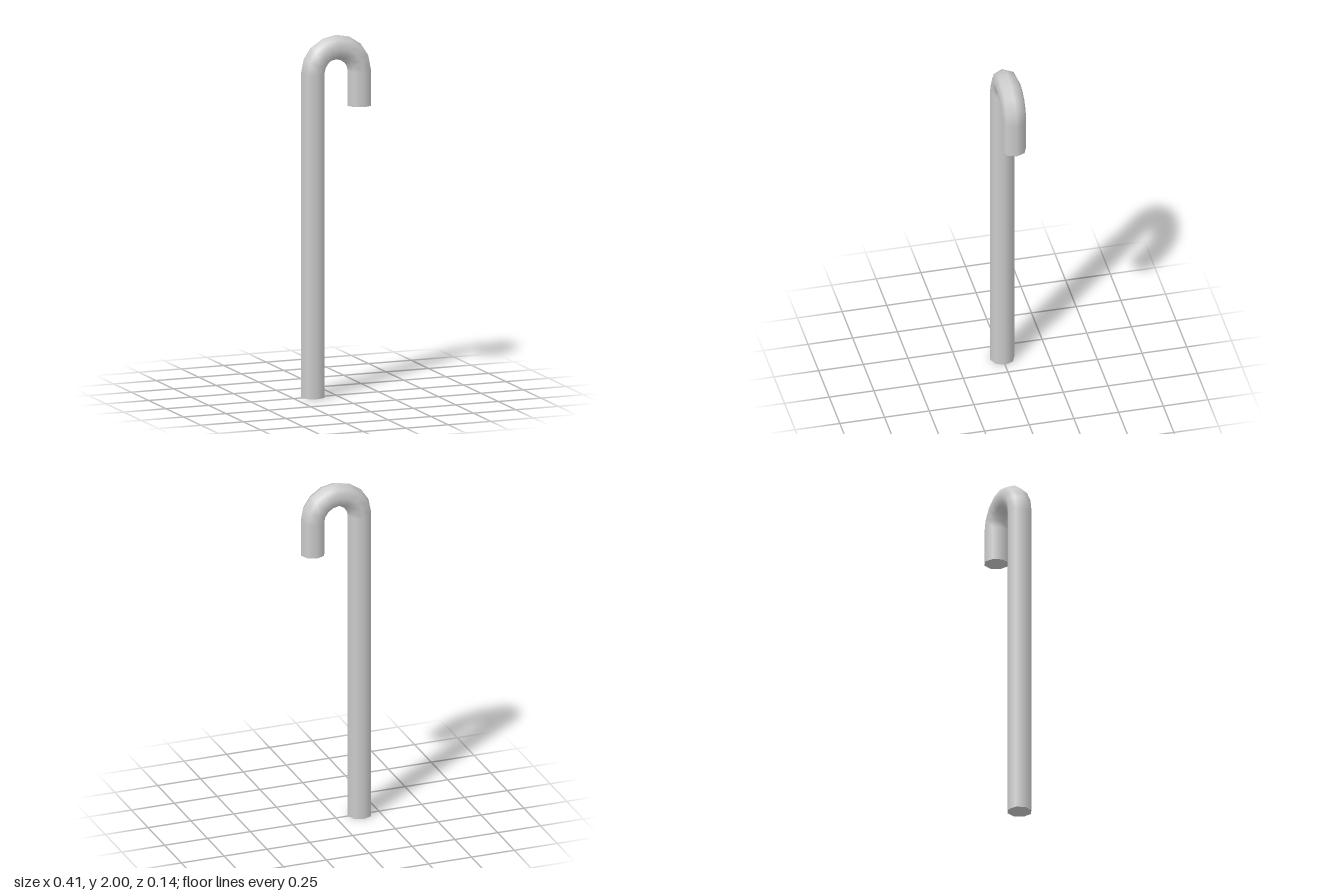
import * as THREE from 'three';

const SIDES = 8;
const TUBE = 0.0685; // radius of the rod
const BEND = 0.1365; // radius of the hook's centre line
const BEND_Y = 1.795; // height where the bend begins

export function createModel() {
  const group = new THREE.Group();
  const material = new THREE.MeshStandardMaterial({ color: 0xcccccc });

  const add = (name, geometry, x, y) => {
    const mesh = new THREE.Mesh(geometry, material);
    mesh.name = name;
    mesh.position.set(x, y, 0);
    group.add(mesh);
  };

  // Straight upright length with a flat cap at its lower end
  const addLeg = (name, x, bottom) => {
    const height = BEND_Y - bottom;
    add(name, new THREE.CylinderGeometry(TUBE, TUBE, height, SIDES, 1, true), x, bottom + height / 2);
    add(name + 'Cap', new THREE.CircleGeometry(TUBE, SIDES).rotateX(Math.PI / 2), x, bottom);
  };

  addLeg('shaft', -BEND, 0);
  addLeg('hookTip', BEND, 1.6);

  // Half-ring handle joining both lengths
  add('hookBend', new THREE.TorusGeometry(BEND, TUBE, SIDES, 8, Math.PI), 0, BEND_Y);

  return group;
}
